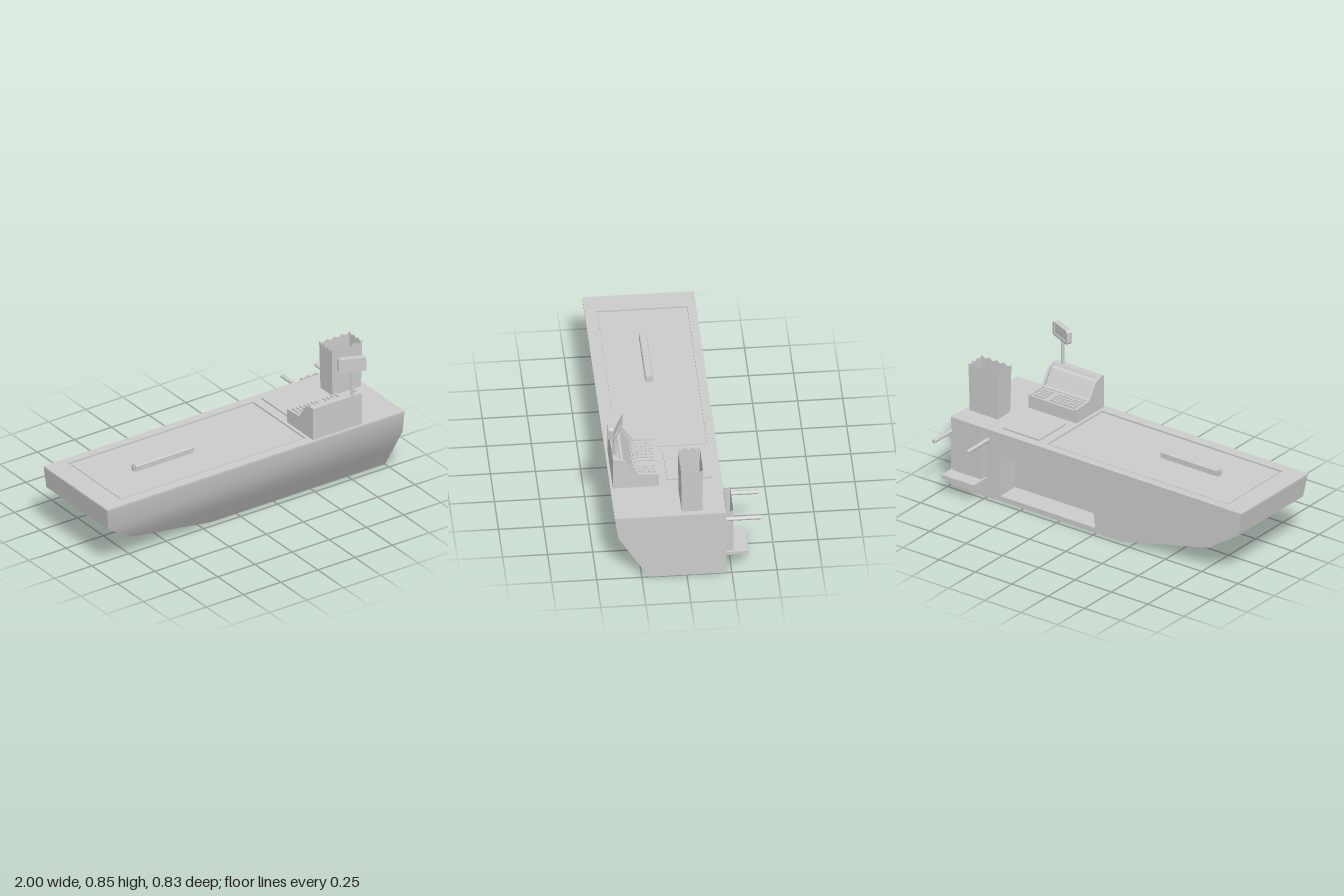
import * as THREE from 'three';
import { toCreasedNormals } from 'three/addons/utils/BufferGeometryUtils.js';

const grey = new THREE.MeshStandardMaterial({ color: 0xcccccc });
const thin = new THREE.MeshStandardMaterial({ color: 0xcccccc, side: THREE.DoubleSide });
const BACK = -0.22, DECK = 0.418, RIM = 0.408;

function mesh(name, geometry, material = grey) {
  const m = new THREE.Mesh(geometry, material);
  m.name = name;
  return m;
}

// box given by its min and max along each axis
function box(name, [x0, x1], [y0, y1], [z0, z1]) {
  const g = new THREE.BoxGeometry(x1 - x0, y1 - y0, z1 - z0);
  g.translate((x0 + x1) / 2, (y0 + y1) / 2, (z0 + z1) / 2);
  return mesh(name, g);
}

const shapeOf = pts => new THREE.Shape(pts.map(p => new THREE.Vector2(...p)));
const extrude = (shape, depth) => new THREE.ExtrudeGeometry(shape, { depth, bevelEnabled: false });

// geometry from quads, corners counter-clockwise from outside
function quads(list) {
  const pos = list.flatMap(([a, b, c, d]) => [a, b, c, a, c, d].flat());
  const g = new THREE.BufferGeometry();
  g.setAttribute('position', new THREE.Float32BufferAttribute(pos, 3));
  g.computeVertexNormals();
  return g;
}

// extrusion along x of a (z, y) profile
function profileAlongX(name, pts, x0, x1) {
  const g = extrude(shapeOf(pts.map(([z, y]) => [-z, y])), x1 - x0);
  g.rotateY(Math.PI / 2);
  g.translate(x0, 0, 0);
  return mesh(name, g);
}

// boat-like counter body with a storage recess in the rear
function counterBody() {
  const group = new THREE.Group();
  group.name = 'counterBody';
  // y, left end x, front z at the tapered end, front z at the square end
  const levels = [[RIM, -0.998, 0.398, 0.398], [0.28, -0.98, 0.38, 0.38], [0.14, -0.77, 0.31, 0.295], [0, -0.17, 0.21, 0.21]];
  const faces = [];
  const corners = levels.map(([y, x, zl, zr]) => ({ fl: [x, y, zl], fr: [1, y, zr], bl: [x, y, BACK], br: [1, y, BACK] }));
  for (let i = 0; i < 3; i++) {
    const t = corners[i], b = corners[i + 1];
    faces.push([b.fl, b.fr, t.fr, t.fl], [b.bl, b.fl, t.fl, t.bl], [b.fr, b.br, t.br, t.fr]);
  }
  const top = corners[0], low = corners[3];
  faces.push([low.bl, low.br, low.fr, low.fl], [top.fl, top.fr, top.br, top.bl]);
  group.add(mesh('hull', toCreasedNormals(quads(faces), 0.68)));

  // rear panel with opening
  const opening = [[0.66, 0.28], [0.04, 0.28], [0.005, 0.03], [0.66, 0.03]];
  const flip = pts => pts.map(([x, y]) => [-x, y]);
  const rear = shapeOf(flip([...levels.map(l => [l[1], l[0]]), [1, 0], [1, RIM]]));
  rear.holes.push(new THREE.Path(flip(opening).map(p => new THREE.Vector2(...p))));
  const rearGeo = new THREE.ShapeGeometry(rear);
  rearGeo.rotateY(Math.PI);
  rearGeo.translate(0, 0, BACK);
  group.add(mesh('rearPanel', rearGeo));

  // recess lining
  const deep = BACK + 0.14;
  const walls = opening.map((p, i) => {
    const q = opening[(i + 1) % 4];
    return [[...p, BACK], [...q, BACK], [...q, deep], [...p, deep]];
  });
  walls.push(opening.map(p => [...p, deep]));
  group.add(mesh('storageRecess', quads(walls), thin));

  // deck with a sunken belt area
  const deck = shapeOf([[-1, -0.4], [1, -0.4], [1, -BACK], [-1, -BACK]]);
  deck.holes.push(new THREE.Path([[-0.87, -0.34], [-0.87, 0.17], [0.375, 0.17], [0.375, -0.34]].map(p => new THREE.Vector2(...p))));
  const deckGeo = extrude(deck, DECK - RIM);
  deckGeo.rotateX(-Math.PI / 2);
  deckGeo.translate(0, RIM, 0);
  group.add(mesh('deck', deckGeo));
  group.add(box('conveyorBelt', [-0.858, 0.363], [RIM, RIM + 0.005], [-0.158, 0.328]));
  return group;
}

// open paper bag with a zigzag rim, standing on y = 0
function paperBag(name, w, d, h, teethW, teethD, taper) {
  const rim = [];
  const c = [[-1, 1], [1, 1], [1, -1], [-1, -1]];
  c.forEach(([x, z], k) => {
    const [x2, z2] = c[(k + 1) % 4];
    const n = 2 * (k % 2 ? teethD : teethW);
    for (let i = 0; i < n; i++) {
      rim.push([(x + (x2 - x) * i / n) * w / 2, (z + (z2 - z) * i / n) * d / 2, i % 2 ? h - 0.015 : h]);
    }
  });
  const base = ([x, z]) => [x * taper, 0, z * taper];
  const list = rim.map((p, i) => {
    const q = rim[(i + 1) % rim.length];
    return [base(p), base(q), [q[0], q[2], q[1]], [p[0], p[2], p[1]]];
  });
  list.push(c.slice().reverse().map(([x, z]) => [x * w / 2 * taper, 0.003, z * d / 2 * taper]));
  return mesh(name, quads(list), thin);
}

// cash register: cheeks, inner core, sloped screen and keys
function cashRegister() {
  const group = new THREE.Group();
  group.name = 'cashRegister';
  const cheek = [[0.385, DECK], [0.385, 0.613], [0.35, 0.613], [0.315, 0.6], [0.25, 0.507], [0.13, 0.5], [0.13, DECK]];
  const core = [[0.385, DECK], [0.385, 0.613], [0.35, 0.613], [0.342, 0.598], [0.325, 0.592], [0.268, 0.498], [0.25, 0.496], [0.13, 0.493], [0.13, DECK]];
  group.add(profileAlongX('leftCheek', cheek, 0.71, 0.725));
  group.add(profileAlongX('rightCheek', cheek, 0.395, 0.41));
  group.add(profileAlongX('registerCore', core, 0.41, 0.71));
  group.add(profileAlongX('screenSill', [[0.262, 0.49], [0.262, 0.51], [0.25, 0.506], [0.245, 0.49]], 0.41, 0.71));
  for (let r = 0; r < 4; r++) {
    for (let k = 0; k < 11; k++) {
      if (k === 7) continue;
      const x = 0.42 + k * 0.0258, z = 0.143 + r * 0.025;
      group.add(box('key', [x, x + 0.019], [0.49, 0.503], [z, z + 0.018]));
    }
  }
  return group;
}

// customer display on a pole
function customerDisplay() {
  const group = new THREE.Group();
  group.name = 'customerDisplay';
  const pole = mesh('pole', new THREE.CylinderGeometry(0.011, 0.011, 0.17, 16));
  pole.position.set(0.668, 0.69, 0.371);
  const head = new THREE.Group();
  head.name = 'displayHead';
  const x = 0.079, y = 0.042, c = 0.01;
  const outline = shapeOf([[-x, c - y], [c - x, -y], [x - c, -y], [x, c - y], [x, y - c], [x - c, y], [c - x, y], [-x, y - c]]);
  const shell = extrude(outline, 0.026);
  shell.translate(0, 0, -0.011);
  // raised bezel around the screen on the cashier side
  const bezel = outline.clone();
  bezel.holes.push(new THREE.Path([[-0.062, -0.026], [-0.062, 0.03], [0.062, 0.03], [0.062, -0.026]].map(p => new THREE.Vector2(...p))));
  const bezelGeo = extrude(bezel, 0.006);
  bezelGeo.translate(0, 0, -0.017);
  head.add(mesh('displayShell', shell), mesh('displayBezel', bezelGeo));
  head.position.set(0.668, 0.803, 0.368);
  head.rotation.y = -0.41;
  group.add(pole, head);
  return group;
}

// bagging rack on the rear: shelf, two rods and a hanging bag
function baggingRack() {
  const group = new THREE.Group();
  group.name = 'baggingRack';
  group.add(box('rackShelf', [0.75, 0.97], [0.1, 0.12], [-0.345, BACK]));
  for (const x of [0.744, 0.972]) {
    const rod = mesh('rackRod', new THREE.CylinderGeometry(0.012, 0.012, 0.2, 12));
    rod.rotation.x = Math.PI / 2;
    rod.position.set(x, 0.354, -0.317);
    group.add(rod);
  }
  const bag = paperBag('hangingBag', 0.205, 0.038, 0.29, 4, 1, 0.97);
  bag.position.set(0.858, 0.12, -0.243);
  group.add(bag);
  return group;
}

// order divider bar lying on the belt
function dividerBar() {
  const group = new THREE.Group();
  group.name = 'dividerBar';
  group.add(profileAlongX('barMiddle', [[0.078, 0.41], [0.078, 0.445], [0.083, 0.45], [0.115, 0.45], [0.12, 0.445], [0.12, 0.41]], -0.612, -0.225));
  for (const x of [-0.62, -0.225]) group.add(box('barEnd', [x, x + 0.008], [0.413, 0.444], [0.086, 0.112]));
  return group;
}

export function createModel() {
  const model = new THREE.Group();
  model.name = 'checkoutCounter';
  const bag = paperBag('paperBag', 0.205, 0.123, 0.29, 4, 3, 0.94);
  bag.position.set(0.87, DECK, -0.032);
  model.add(counterBody(), dividerBar(), cashRegister(), customerDisplay(), baggingRack(), bag);
  model.add(box('scannerPad', [0.43, 0.68], [DECK - 0.005, 0.428], [-0.168, 0.082]));
  return model;
}
